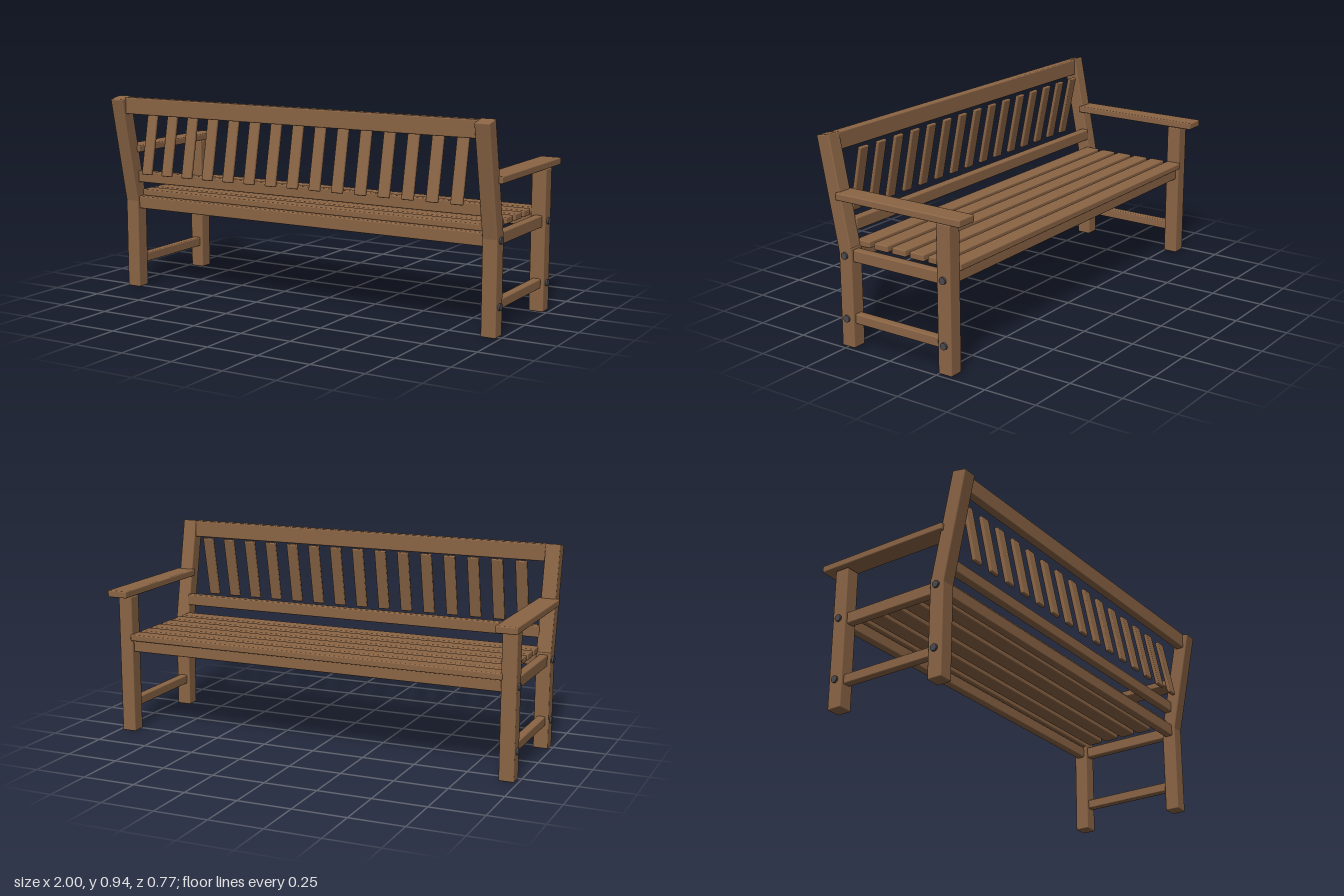
import * as THREE from 'three';
import { RoundedBoxGeometry } from 'three/addons/geometries/RoundedBoxGeometry.js';

export function createModel() {
  const bench = new THREE.Group();
  bench.name = 'gardenBench';
  const wood = new THREE.MeshStandardMaterial({ color: 0x8b6545 });
  wood.name = 'wood';
  const steel = new THREE.MeshStandardMaterial({ color: 0x4a4a50 });
  steel.name = 'darkSteel';

  // A softly rounded plank of size w, h, d, tilted about x
  const plank = (name, w, h, d, x, y, z, tilt = 0) => {
    const r = Math.min(0.006, Math.min(w, h, d) * 0.3);
    const mesh = new THREE.Mesh(new RoundedBoxGeometry(w, h, d, 2, r), wood);
    mesh.name = name;
    mesh.position.set(x, y, z);
    mesh.rotation.x = tilt;
    bench.add(mesh);
  };

  const lean = 0.2;
  const backZ = 0.2475, frontZ = -0.2825, postX = 0.948;
  const boltGeometry = new THREE.CylinderGeometry(0.016, 0.016, 0.02, 16);
  boltGeometry.rotateZ(Math.PI / 2);

  // End frames, mirrored
  for (const side of [1, -1]) {
    const x = side * postX;
    plank('frontLeg', 0.07, 0.661, 0.07, x, 0.3305, frontZ);
    plank('backLeg', 0.07, 0.457, 0.07, x, 0.2285, backZ);
    const length = 0.52;
    plank('backPost', 0.07, length, 0.07, x,
      0.937 - Math.cos(lean) * length / 2, 0.35 - Math.sin(lean) * length / 2, lean);
    plank('armrest', 0.1, 0.033, 0.66, side * 0.95, 0.6825, -0.0525);
    plank('seatSideRail', 0.04, 0.055, 0.48, x, 0.42, -0.0175);
    plank('lowerStretcher', 0.04, 0.045, 0.48, x, 0.1325, -0.0175);
    // Bolt heads on the outer faces of the legs
    for (const z of [backZ, frontZ]) for (const y of [0.42, 0.1325]) {
      const bolt = new THREE.Mesh(boltGeometry, steel);
      bolt.name = 'boltHead';
      bolt.position.set(side * 0.982, y, z);
      bench.add(bolt);
    }
  }

  // Long rails between the end frames
  const span = 1.84;
  plank('frontSeatRail', span, 0.055, 0.04, 0, 0.42, frontZ);
  plank('backSeatRail', span, 0.06, 0.04, 0, 0.42, backZ);
  plank('lowerBackRail', span, 0.055, 0.04, 0, 0.5475, 0.25);
  plank('topBackRail', span, 0.08, 0.04, 0, 0.9, 0.336);

  // Six seat slats
  for (let i = 0; i < 6; i++) {
    plank('seatSlat', span, 0.031, 0.076, 0, 0.465, 0.2 - i * 0.0975);
  }

  // Fifteen back slats
  for (let i = -7; i <= 7; i++) {
    plank('backSlat', 0.056, 0.3, 0.018, i * 0.1165, 0.7175, 0.299, -lean);
  }
  return bench;
}
